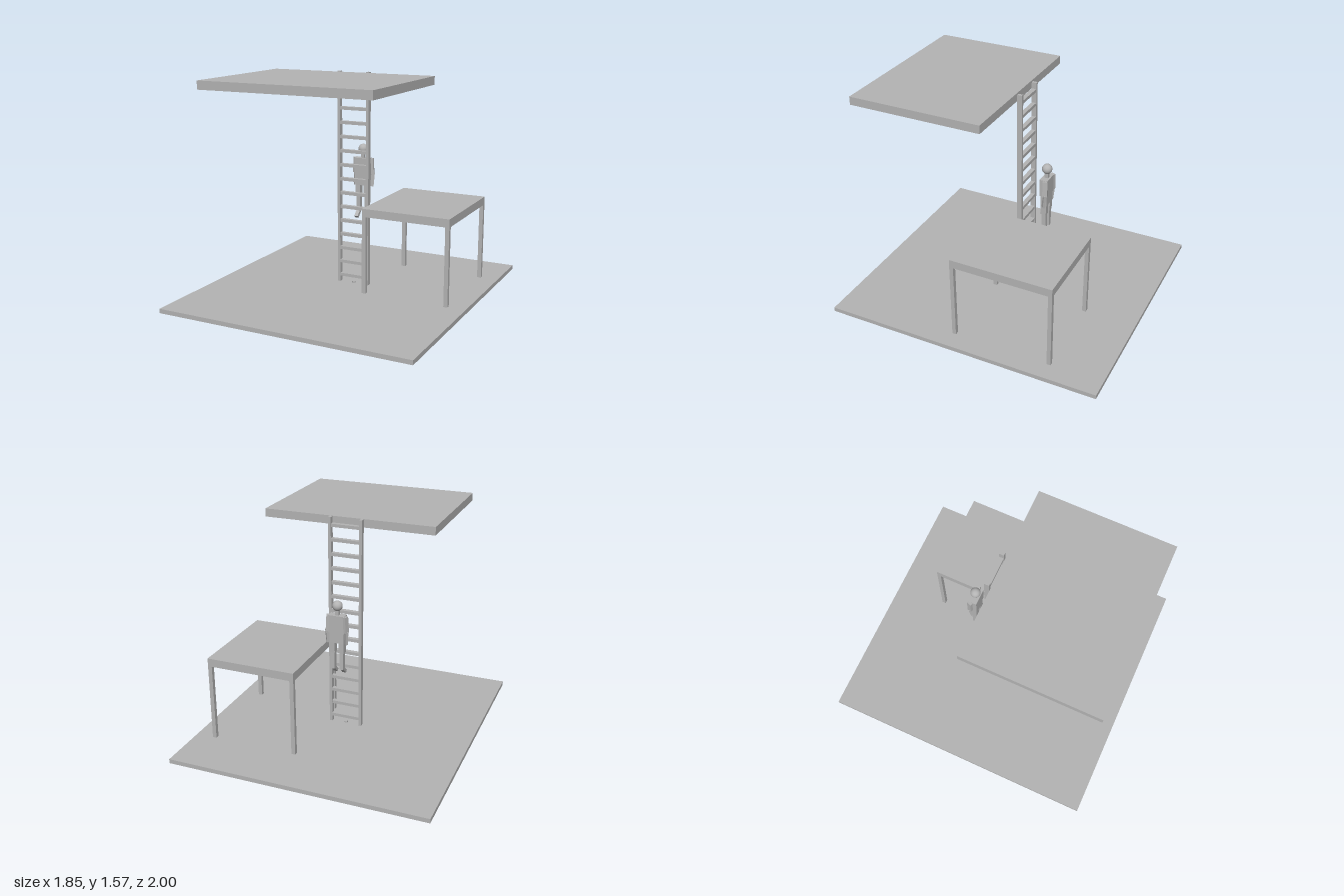
import * as THREE from 'three';

const grey = new THREE.MeshStandardMaterial({ color: 0xb3b3b3 });
grey.name = 'plain grey';

function add(parent, name, geometry) {
  const mesh = new THREE.Mesh(geometry, grey);
  mesh.name = name;
  parent.add(mesh);
  return mesh;
}

// Box given by its lower and upper limits on each axis
function box(parent, name, [x0, x1], [y0, y1], [z0, z1]) {
  const mesh = add(parent, name, new THREE.BoxGeometry(x1 - x0, y1 - y0, z1 - z0));
  mesh.position.set((x0 + x1) / 2, (y0 + y1) / 2, (z0 + z1) / 2);
  return mesh;
}

// Square-edged limb running from one joint to the next
function limb(parent, name, from, to, width, depth) {
  const a = new THREE.Vector3(...from), b = new THREE.Vector3(...to);
  const dir = b.clone().sub(a);
  const mesh = add(parent, name, new THREE.BoxGeometry(width, dir.length(), depth));
  mesh.position.copy(a).add(b).multiplyScalar(0.5);
  mesh.quaternion.setFromUnitVectors(new THREE.Vector3(0, 1, 0), dir.normalize());
  return mesh;
}

function group(parent, name) {
  const g = new THREE.Group();
  g.name = name;
  parent.add(g);
  return g;
}

export function createModel() {
  const model = new THREE.Group();
  model.name = 'ladderScene';

  // Floor and raised platform
  box(model, 'floor', [-0.923, 0.923], [0, 0.031], [-1, 1]);
  box(model, 'upperPlatform', [-0.613, 0.613], [1.512, 1.57], [-0.045, 0.907]);

  // Ladder
  const ladder = group(model, 'ladder');
  for (const s of [-1, 1]) {
    const xs = [s * 0.102, s * 0.122].sort((a, b) => a - b);
    box(ladder, 'ladderRail', xs, [0.031, 1.573], [-0.095, -0.06]);
  }
  for (let i = 0; i < 15; i++) {
    const y = 0.084 + i * 0.1024;
    box(ladder, 'ladderRung', [-0.102, 0.102], [y - 0.011, y + 0.011], [-0.093, -0.062]);
  }
  const stud = add(model, 'floorStud', new THREE.CylinderGeometry(0.012, 0.012, 0.012, 16));
  stud.position.set(0, 0.036, -0.078);

  // Table
  const table = group(model, 'table');
  box(table, 'tableTop', [0.153, 0.797], [0.588, 0.646], [-0.63, 0.105]);
  for (const x of [0.153, 0.768]) {
    for (const z of [-0.63, 0.077]) {
      box(table, 'tableLeg', [x, x + 0.029], [0.031, 0.588], [z, z + 0.028]);
    }
  }

  // Climbing figure
  const figure = group(model, 'figure');
  const head = add(figure, 'head', new THREE.SphereGeometry(0.036, 24, 16));
  head.position.set(0, 1.003, -0.23);
  box(figure, 'neck', [-0.013, 0.013], [0.93, 0.98], [-0.242, -0.218]);
  box(figure, 'chest', [-0.058, 0.058], [0.81, 0.937], [-0.257, -0.2]);
  box(figure, 'hips', [-0.052, 0.052], [0.735, 0.81], [-0.253, -0.207]);
  for (const s of [-1, 1]) {
    const side = group(figure, s > 0 ? 'leftLimbs' : 'rightLimbs');
    limb(side, 'upperArm', [s * 0.064, 0.935, -0.245], [s * 0.07, 0.82, -0.246], 0.02, 0.034);
    limb(side, 'forearm', [s * 0.07, 0.83, -0.246], [s * 0.065, 0.73, -0.235], 0.018, 0.026);
    limb(side, 'thigh', [s * 0.033, 0.76, -0.23], [s * 0.033, 0.66, -0.227], 0.037, 0.042);
    limb(side, 'shin', [s * 0.032, 0.67, -0.228], [s * 0.032, 0.535, -0.23], 0.028, 0.032);
    limb(side, 'foot', [s * 0.032, 0.55, -0.234], [s * 0.032, 0.5, -0.184], 0.028, 0.022);
  }

  return model;
}
